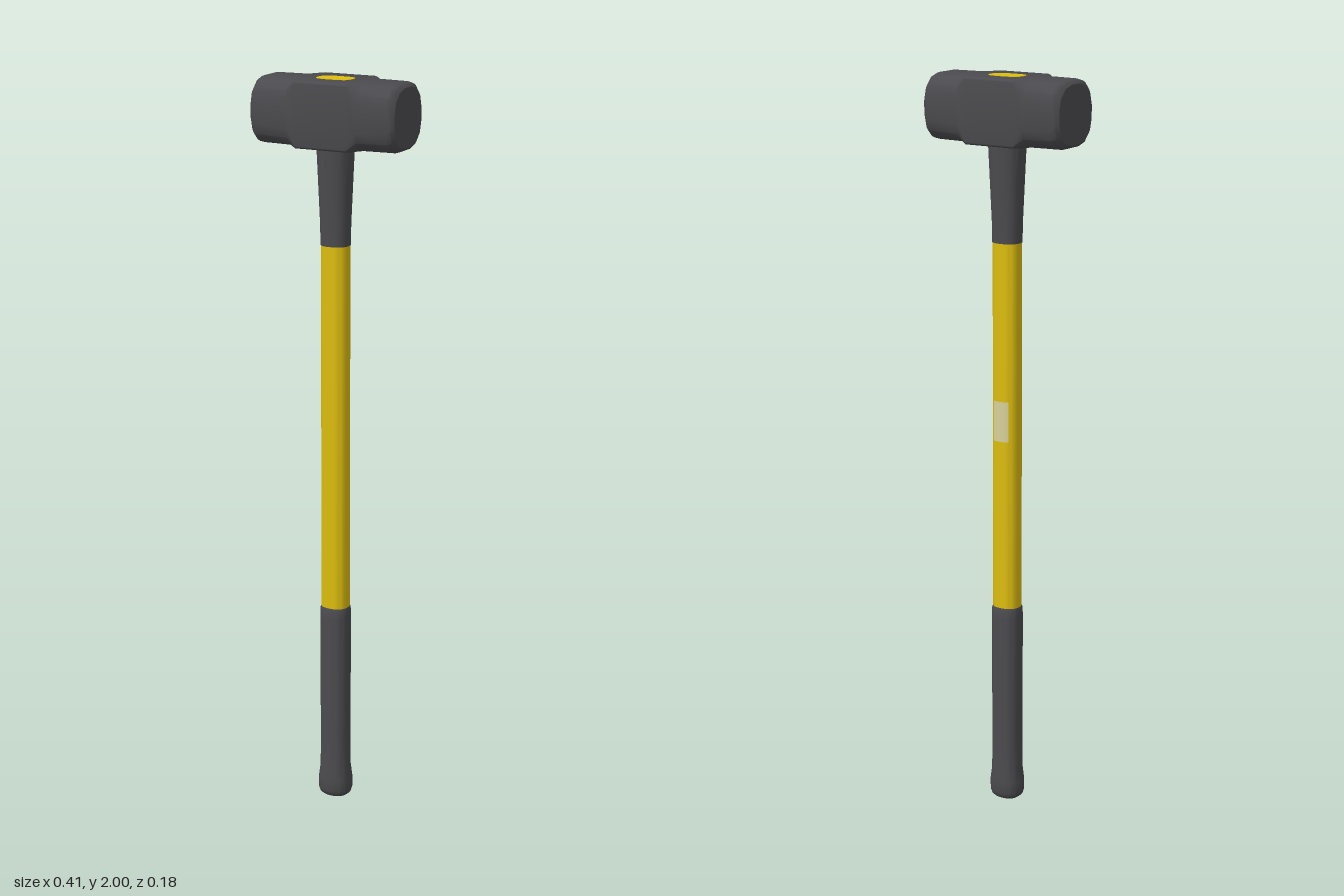
import * as THREE from 'three';
import { toCreasedNormals } from 'three/addons/utils/BufferGeometryUtils.js';

// Point on a rounded oval with half widths a (x) and b (z)
function ovalPoint(t, a, b, n = 2.4) {
  const c = Math.cos(t), s = Math.sin(t);
  return [a * Math.sign(c) * Math.abs(c) ** (2 / n), b * Math.sign(s) * Math.abs(s) ** (2 / n)];
}

const oval = (a, b, n) => Array.from({ length: 32 }, (_, i) => ovalPoint((i / 32) * Math.PI * 2, a, b, n));

// Rectangle with corners rounded by radius c
function roundedRect(a, b, c) {
  const pts = [];
  for (let q = 0; q < 4; q++) {
    const sx = q === 0 || q === 3 ? 1 : -1, sz = q < 2 ? 1 : -1;
    for (let k = 0; k <= 3; k++) {
      const t = (q + k / 3) * Math.PI / 2;
      pts.push([sx * (a - c) + c * Math.cos(t), sz * (b - c) + c * Math.sin(t)]);
    }
  }
  return pts;
}

// Capped skin over cross-sections [height, points] stacked along y
function loft(sections, crease) {
  const n = sections[0][1].length, pos = [], idx = [];
  for (const [y, pts] of sections) for (const [x, z] of pts) pos.push(x, y, z);
  for (let s = 0; s < sections.length - 1; s++) {
    for (let i = 0; i < n; i++) {
      const a = s * n + i, b = s * n + (i + 1) % n;
      idx.push(a, a + n, b, b, a + n, b + n);
    }
  }
  const last = sections.length - 1, c0 = pos.length / 3;
  pos.push(0, sections[0][0], 0, 0, sections[last][0], 0);
  for (let i = 0; i < n; i++) {
    const j = (i + 1) % n;
    idx.push(c0, i, j, c0 + 1, last * n + j, last * n + i);
  }
  const g = new THREE.BufferGeometry();
  g.setAttribute('position', new THREE.Float32BufferAttribute(pos, 3));
  g.setIndex(idx);
  return toCreasedNormals(g, crease);
}

export function createModel() {
  const group = new THREE.Group();
  const material = (name, color) => {
    const m = new THREE.MeshStandardMaterial({ color });
    m.name = name;
    return m;
  };
  const dark = material('dark grey', 0x4b4a4e);
  const yellow = material('yellow', 0xdcbc10);
  const pale = material('pale label', 0xd8d098);
  pale.side = THREE.DoubleSide;

  const add = (name, geometry, mat) => {
    const mesh = new THREE.Mesh(geometry, mat);
    mesh.name = name;
    group.add(mesh);
    return mesh;
  };
  const ovals = (rows) => rows.map(([y, a, b, n]) => [y, oval(a, b, n)]);

  // Grip with a flared butt
  add('grip', loft(ovals([
    [0, 0.034, 0.03], [0.006, 0.042, 0.036], [0.018, 0.046, 0.04], [0.05, 0.046, 0.041],
    [0.085, 0.041, 0.039], [0.16, 0.04, 0.038], [0.53, 0.041, 0.039], [0.555, 0.04, 0.038], [0.56, 0.038, 0.036],
  ]), 0.9), dark);

  // Handle shaft
  add('shaft', loft(ovals([[0.55, 0.038, 0.034], [1.58, 0.038, 0.034]]), 0.9), yellow);

  // Collar widening towards the head
  add('collar', loft(ovals([
    [1.565, 0.039, 0.035], [1.62, 0.04, 0.036], [1.72, 0.044, 0.041], [1.818, 0.048, 0.046],
  ]), 0.9), dark);

  // Handle core, seen under the head and through its eye
  add('core', loft(ovals([
    [1.81, 0.047, 0.038, 3], [1.993, 0.051, 0.033, 3], [2, 0.05, 0.032, 3],
  ]), 0.5), yellow);

  // Head: square waist blending to rounded octagonal striking ends
  const halfHead = [
    [0.073, 0.087, 0.09, 0.007], [0.1, 0.087, 0.09, 0.05], [0.188, 0.087, 0.09, 0.056],
    [0.198, 0.084, 0.087, 0.058], [0.206, 0.077, 0.079, 0.06],
  ];
  const headRows = [
    ...halfHead.slice().reverse().map(([x, ...r]) => [-x, ...r]),
    ...halfHead,
  ];
  const head = add('head', loft(headRows.map(([x, a, b, c]) => [x, roundedRect(a, b, c)]), 0.6), dark);
  head.rotation.z = -Math.PI / 2;
  head.position.y = 1.912;

  // Small label wrapped on the back of the shaft
  const label = new THREE.PlaneGeometry(1.1, 0.11, 10, 1);
  const p = label.attributes.position;
  for (let i = 0; i < p.count; i++) {
    const [x, z] = ovalPoint(-Math.PI / 2 - p.getX(i), 0.0395, 0.0355);
    p.setXYZ(i, x, 1.085 + p.getY(i), z);
  }
  label.computeVertexNormals();
  add('label', label, pale);

  return group;
}
